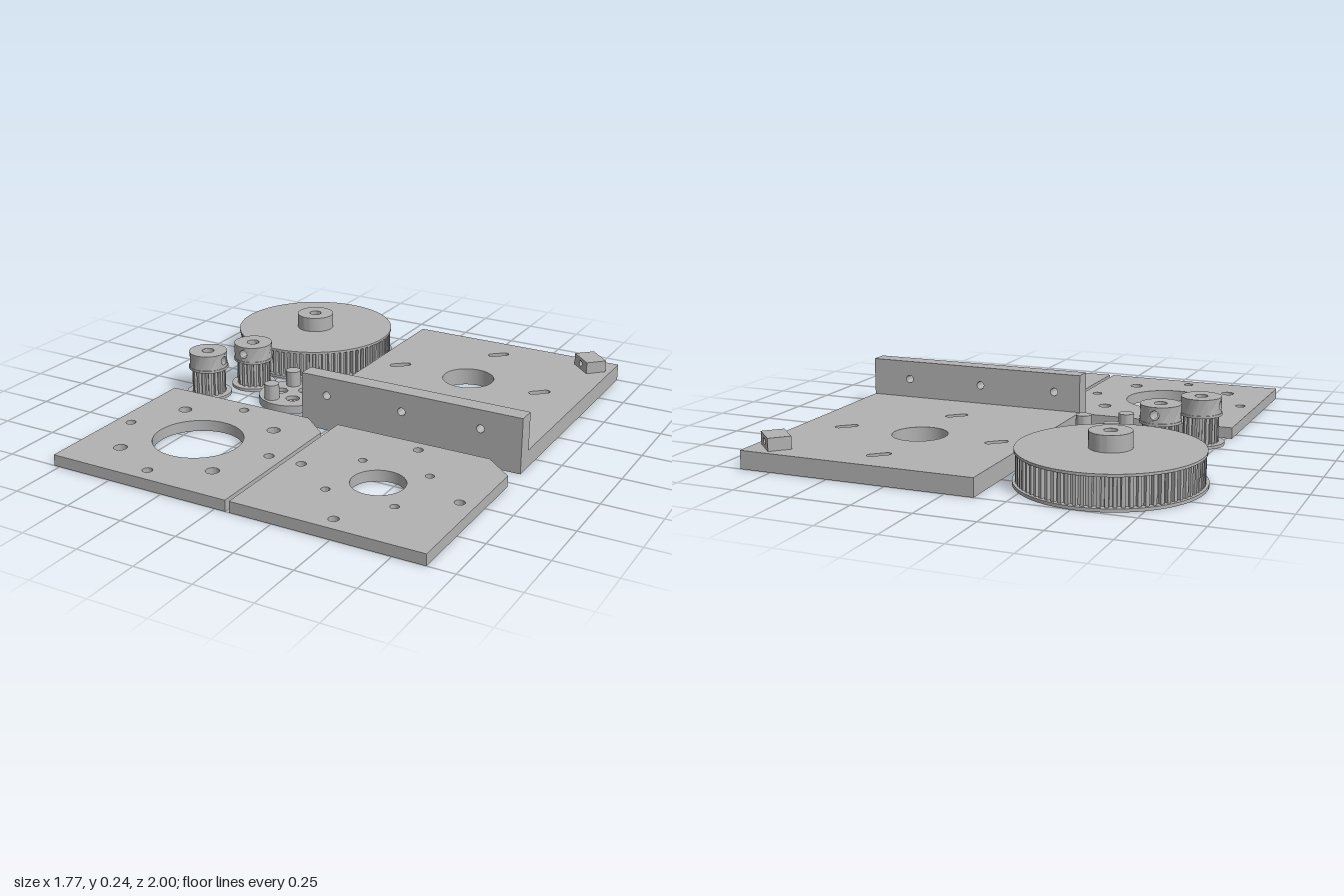
import * as THREE from 'three';
import { mergeGeometries, toCreasedNormals } from 'three/addons/utils/BufferGeometryUtils.js';

const grey = new THREE.MeshStandardMaterial({ color: 0xb2b2b2 });
const CREASE = 0.5;

// Round hole, or a slot when an offset vector is given
function hole(x, y, r) {
  const p = new THREE.Path();
  p.absarc(x, y, r, 0, Math.PI * 2, true);
  return p;
}

function slot(x, y, r, half, angle) {
  const p = new THREE.Path();
  const dx = Math.cos(angle) * half, dy = Math.sin(angle) * half;
  p.absarc(x + dx, y + dy, r, angle - Math.PI / 2, angle + Math.PI / 2, false);
  p.absarc(x - dx, y - dy, r, angle + Math.PI / 2, angle + Math.PI * 1.5, false);
  return p;
}

function polygon(points) {
  return new THREE.Shape(points.map(([x, y]) => new THREE.Vector2(x, y)));
}

function disc(r) {
  const s = new THREE.Shape();
  s.absarc(0, 0, r, 0, Math.PI * 2, false);
  return s;
}

// Toothed belt profile with trapezoid teeth
function teeth(count, root, tip) {
  const pts = [], step = Math.PI * 2 / count;
  for (let i = 0; i < count; i++) {
    for (const [f, r] of [[0, root], [0.38, root], [0.46, tip], [0.92, tip]]) {
      const a = (i + f) * step;
      pts.push([Math.cos(a) * r, Math.sin(a) * r]);
    }
  }
  return polygon(pts);
}

function extrude(shape, holes, depth) {
  shape.holes = holes;
  return new THREE.ExtrudeGeometry(shape, { depth, bevelEnabled: false, curveSegments: 28 });
}

function add(parent, name, geometry) {
  const m = new THREE.Mesh(toCreasedNormals(geometry, CREASE), grey);
  m.name = name;
  parent.add(m);
  return m;
}

// Horizontal slab from y0 to y1; the shape's y is -z
function slab(parent, name, shape, holes, y0, y1) {
  return add(parent, name, extrude(shape, holes, y1 - y0).rotateX(-Math.PI / 2).translate(0, y0, 0));
}

// Ring wall bent from flat panels, with two opposite cross holes
function drilledHub(inner, outer, y0, y1, holeR) {
  const panels = [], half = Math.PI / 10, n = 6;
  for (let k = 0; k < 10; k++) {
    const c = k * Math.PI / 5, pts = [];
    for (let i = 0; i <= n; i++) pts.push([c - half + 2 * half * i / n, y0]);
    for (let i = n; i >= 0; i--) pts.push([c - half + 2 * half * i / n, y1]);
    const holes = [];
    if (k % 5 === 0) {
      const p = new THREE.Path();
      p.absellipse(c, (y0 + y1) / 2, holeR / outer, holeR, 0, Math.PI * 2, true);
      holes.push(p);
    }
    panels.push(extrude(polygon(pts), holes, outer - inner));
  }
  const g = mergeGeometries(panels);
  const pos = g.attributes.position;
  for (let i = 0; i < pos.count; i++) {
    const a = pos.getX(i), r = inner + pos.getZ(i);
    pos.setXYZ(i, Math.sin(a) * r, pos.getY(i), Math.cos(a) * r);
  }
  g.deleteAttribute('normal');
  g.computeVertexNormals();
  return g;
}

function pulley(name, x, z, o) {
  const g = new THREE.Group();
  g.name = name;
  g.position.set(x, 0, z);
  const bore = 0.027, bored = () => [hole(0, 0, bore)];
  slab(g, 'bottomFlange', disc(o.bottom), bored(), 0, 0.013);
  slab(g, 'beltTeeth', teeth(o.count, o.root, o.tip), bored(), 0.013, 0.127);
  slab(g, 'topFlange', disc(o.top), bored(), 0.127, 0.138);
  if (o.drilled) add(g, 'hub', drilledHub(bore, 0.085, 0.138, 0.205, 0.019));
  else slab(g, 'hub', disc(0.085), bored(), 0.138, 0.205);
  return g;
}

// Square plate with one clipped corner, a big opening and eight screw holes
function mountPlate(parent, name, x0, x1, cx, bigR, diagonal, diagR) {
  const cz = 0.587, ring = 0.344;
  const holes = [hole(cx, -cz, bigR)];
  for (const s of [-1, 1]) {
    holes.push(hole(cx + s * ring, -cz, 0.021), hole(cx, -cz + s * ring, 0.021));
    for (const t of [-1, 1]) holes.push(hole(cx + s * diagonal, -cz + t * diagonal, diagR));
  }
  const shape = polygon([[x0, -1], [x1, -1], [x1, -0.288], [x1 - 0.125, -0.18], [x0, -0.18]]);
  slab(parent, name, shape, holes, 0, 0.048);
}

export function createModel() {
  const model = new THREE.Group();
  model.name = 'pulleyDriveParts';

  // Angle bracket: slotted base and drilled upright wall
  const bracket = new THREE.Group();
  bracket.name = 'angleBracket';
  model.add(bracket);
  const L = -0.12, R = 0.886, cx = 0.352, cz = -0.507;
  const baseHoles = [hole(cx, -cz, 0.115)];
  for (const [dx, dz] of [[0.343, 0], [-0.343, 0], [0, 0.343], [0, -0.343]]) {
    baseHoles.push(slot(cx + dx, -(cz + dz), 0.017, 0.032, 0.73));
  }
  slab(bracket, 'bracketBase', polygon([[L, -0.083], [R, -0.083], [R, 1], [L, 1]]), baseHoles, 0, 0.076);
  const wallHoles = [0, 0.354, 0.707].map(x => hole(x, 0.158, 0.017));
  add(bracket, 'bracketWall',
    extrude(polygon([[L, 0], [R, 0], [R, 0.24], [L, 0.24]]), wallHoles, 0.076).translate(0, 0, 0.083));

  // Small drilled block set diagonally on the base
  const block = extrude(polygon([[-0.064, 0], [0.064, 0], [0.064, 0.053], [-0.064, 0.053]]),
    [hole(0, 0.027, 0.014)], 0.094).translate(0, 0, -0.047);
  add(bracket, 'cornerBlock', block.rotateY(Math.PI * 0.75).translate(0.785, 0.076, -0.897));

  // Two mounting plates
  mountPlate(model, 'largeHolePlate', -0.775, 0.048, -0.362, 0.188, 0.225, 0.028);
  mountPlate(model, 'smallHolePlate', 0.066, 0.886, 0.476, 0.11, 0.148, 0.018);

  // Pulleys
  model.add(pulley('largePulley', -0.516, -0.627,
    { bottom: 0.373, top: 0.366, root: 0.345, tip: 0.361, count: 76 }));
  const small = { bottom: 0.1, top: 0.088, root: 0.06, tip: 0.075, count: 16, drilled: true };
  model.add(pulley('smallPulleyBack', -0.556, -0.135, small));
  const front = pulley('smallPulleyFront', -0.672, 0.056, small);
  front.rotation.y = Math.PI / 2;
  model.add(front);

  // Coupling disc with three pegs and three countersunk screw holes
  const coupling = new THREE.Group();
  coupling.name = 'couplingDisc';
  coupling.position.set(-0.295, 0, -0.051);
  model.add(coupling);
  const spots = (r, start) => [0, 1, 2].map(i => {
    const a = start + i * Math.PI * 2 / 3;
    return [Math.cos(a) * r, Math.sin(a) * r];
  });
  const screws = spots(0.062, Math.PI);
  slab(coupling, 'discLower', disc(0.151), screws.map(([x, y]) => hole(x, y, 0.016)), 0, 0.018);
  slab(coupling, 'discUpper', disc(0.151), screws.map(([x, y]) => hole(x, y, 0.03)), 0.018, 0.036);
  for (const [x, y] of spots(0.106, 0)) {
    const peg = slab(coupling, 'peg', disc(0.033), [], 0.036, 0.105);
    peg.position.set(x, 0, -y);
  }
  return model;
}
